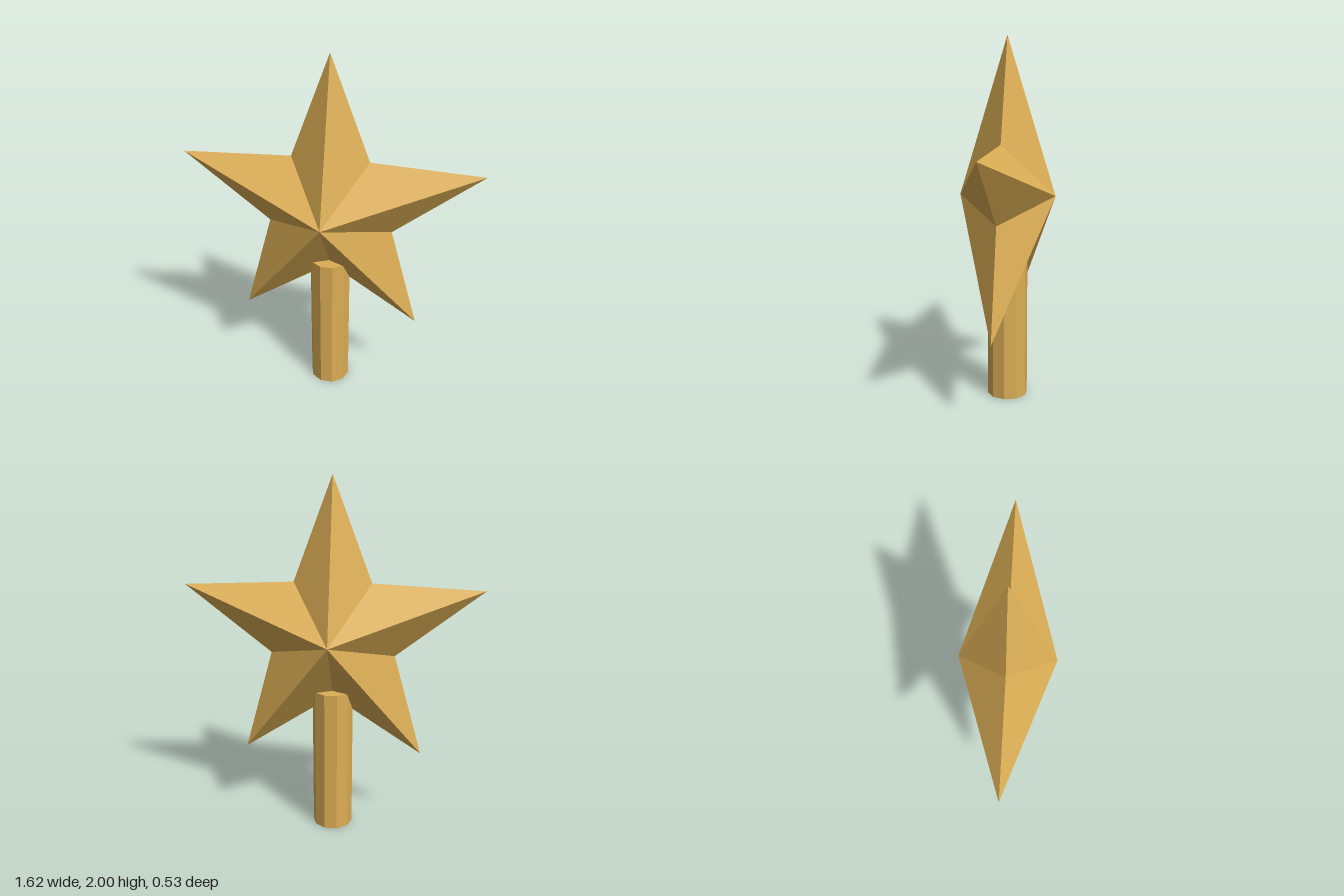
import * as THREE from 'three';

const CENTRE_Y = 1.147, TIP = 0.853, NOTCH = 0.359, DEPTH = 0.265;

// Five-pointed faceted star: each outline edge joins a front and a back apex.
function starGeometry() {
  const rim = Array.from({ length: 10 }, (_, i) => {
    const a = Math.PI / 2 + (i * Math.PI) / 5;
    const r = i % 2 ? NOTCH : TIP;
    return [Math.cos(a) * r, Math.sin(a) * r, 0];
  });
  const pos = [];
  rim.forEach((p, i) => {
    const q = rim[(i + 1) % 10];
    pos.push(...p, ...q, 0, 0, DEPTH);
    pos.push(...q, ...p, 0, 0, -DEPTH);
  });
  const g = new THREE.BufferGeometry();
  g.setAttribute('position', new THREE.Float32BufferAttribute(pos, 3));
  g.computeVertexNormals();
  return g;
}

export function createModel() {
  const group = new THREE.Group();
  group.name = 'starTopper';
  const gold = new THREE.MeshStandardMaterial({
    name: 'gold', color: 0xdcae55, flatShading: true, side: THREE.DoubleSide,
  });

  const star = new THREE.Mesh(starGeometry(), gold);
  star.name = 'star';
  star.position.y = CENTRE_Y;
  group.add(star);

  // Ten-sided sleeve, hollow and open at the bottom, corners on the x axis
  const R = 0.113, H = 0.83;
  const turn = Math.PI / 10;
  const sleeve = new THREE.Mesh(new THREE.CylinderGeometry(R, R, H, 10, 1, true, turn), gold);
  sleeve.name = 'sleeve';
  sleeve.position.y = H / 2;
  group.add(sleeve);

  // Flat lid closing the top of the sleeve
  const lid = new THREE.Mesh(new THREE.CircleGeometry(R, 10), gold);
  lid.name = 'sleeveLid';
  lid.rotation.x = -Math.PI / 2;
  lid.position.y = H;
  group.add(lid);

  return group;
}
